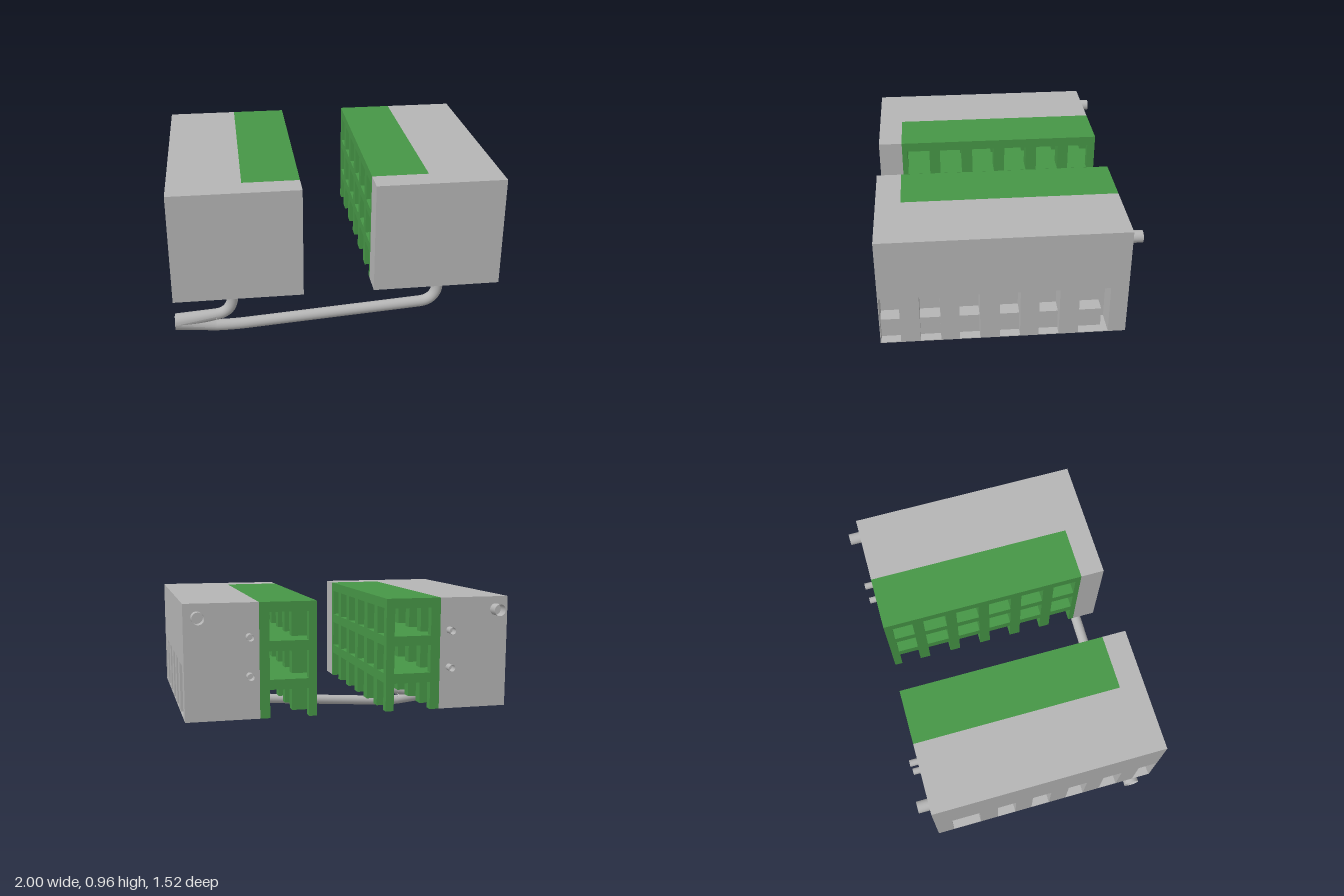
import * as THREE from 'three';

export function createModel() {
  const model = new THREE.Group();
  const grey = new THREE.MeshStandardMaterial({ color: 0xb4b4b4 });
  grey.name = 'concreteGrey';
  const pipeGrey = new THREE.MeshStandardMaterial({ color: 0xb4b4b4, side: THREE.DoubleSide });
  pipeGrey.name = 'pipeGrey';
  const green = new THREE.MeshStandardMaterial({ color: 0x469646 });
  green.name = 'frameGreen';

  // box given by its limits, mirrored across x by the sign s
  function box(parent, name, mat, s, x0, x1, y0, y1, z0, z1) {
    const mesh = new THREE.Mesh(new THREE.BoxGeometry(x1 - x0, y1 - y0, z1 - z0), mat);
    mesh.position.set(s * (x0 + x1) / 2, (y0 + y1) / 2, (z0 + z1) / 2);
    mesh.name = name;
    parent.add(mesh);
    return mesh;
  }

  const BOT = 0.27, TOP = 0.96, BACK = -0.69, FRONT = 0.76;
  const IN = 0.215, MID = 0.56, OUT = 1, FRAME_FRONT = 0.61;
  const recessX = 0.85;
  const openings = [[0.64, 0.755], [0.405, 0.525], [0.175, 0.295],
    [-0.06, 0.06], [-0.29, -0.17], [-0.585, -0.405]];

  function buildBlock(s) {
    const block = new THREE.Group();
    block.name = s > 0 ? 'leftBlock' : 'rightBlock';

    // solid body, front wing and the wall above the openings
    box(block, 'core', grey, s, MID, recessX, BOT, TOP, BACK, FRONT);
    box(block, 'frontWing', grey, s, IN, MID, BOT, TOP, FRAME_FRONT, FRONT);
    box(block, 'upperWall', grey, s, recessX, OUT, 0.585, TOP, BACK, FRONT);

    // piers, sills and low counters of the openings
    let z = FRONT;
    for (const [z0, z1] of openings) {
      box(block, 'pier', grey, s, recessX, OUT, BOT, 0.585, z1, z);
      box(block, 'sill', grey, s, recessX, OUT, BOT, BOT + 0.004, z0, z1);
      const short = z0 < -0.5 ? 0.035 : 0;
      box(block, 'counter', grey, s, recessX, 0.94, BOT, 0.395, z0 + short, z1);
      z = z0;
    }
    box(block, 'pier', grey, s, recessX, OUT, BOT, 0.585, BACK, z);

    // green open frame: floors with beams under their edges
    const frame = new THREE.Group();
    frame.name = 'galleryFrame';
    block.add(frame);
    const floors = [TOP, 0.73, 0.5];
    const bays = 6, pitch = (FRAME_FRONT - BACK) / bays;
    for (const y of floors) {
      box(frame, 'floor', green, s, IN, MID, y - 0.025, y, BACK, FRAME_FRONT);
      box(frame, 'edgeBeam', green, s, IN, IN + 0.05, y - 0.06, y - 0.025, BACK, FRAME_FRONT);
      box(frame, 'wallBeam', green, s, MID - 0.05, MID, y - 0.06, y - 0.025, BACK, FRAME_FRONT);
    }
    // columns and cross beams between the bays
    for (let i = 0; i <= bays; i++) {
      const c = BACK + i * pitch;
      const z0 = i === 0 ? c : c - 0.035;
      const z1 = i === bays ? c : (i === 0 ? c + 0.05 : c + 0.035);
      const deep = i === 0 ? 0.05 : 0.115;
      box(frame, 'column', green, s, IN, IN + deep, BOT, TOP - 0.025, z0, z1);
      box(frame, 'wallColumn', green, s, MID - 0.06, MID, BOT, TOP - 0.025, z0, z1);
      for (const y of floors) {
        box(frame, 'crossBeam', green, s, IN + deep, MID - 0.06, y - 0.06, y - 0.025, z0, z1);
      }
    }

    // short open pipe stubs on the back wall
    for (const [x, y, r, len] of [[0.92, 0.88, 0.036, 0.07], [0.62, 0.76, 0.021, 0.055], [0.62, 0.53, 0.021, 0.055]]) {
      const geo = new THREE.CylinderGeometry(r, r, len, 24, 1, true);
      geo.rotateX(Math.PI / 2);
      const stub = new THREE.Mesh(geo, pipeGrey);
      stub.position.set(s * x, y, BACK - len / 2);
      stub.name = 'backPipeStub';
      block.add(stub);
    }
    return block;
  }
  model.add(buildBlock(1), buildBlock(-1));

  // drain pipes under the blocks
  const PZ = 0.665, R = 0.035;
  const v = (x, y) => new THREE.Vector3(x, y, PZ);
  function elbowPath(x, yEnd) {
    const path = new THREE.CurvePath();
    path.add(new THREE.LineCurve3(v(x, BOT + 0.01), v(x, 0.23)));
    path.add(new THREE.CubicBezierCurve3(v(x, 0.23), v(x, 0.16), v(x - 0.045, yEnd + 0.005), v(x - 0.105, yEnd)));
    return path;
  }
  function tube(name, path, segments) {
    const mesh = new THREE.Mesh(new THREE.TubeGeometry(path, segments, R, 20), pipeGrey);
    mesh.name = name;
    model.add(mesh);
  }
  tube('shortDrainElbow', elbowPath(-0.645, 0.115), 24);
  tube('longDrainElbow', elbowPath(0.635, 0.115), 24);
  tube('longDrainRun', new THREE.LineCurve3(v(0.53, 0.115), v(-0.56, 0.041)), 1);
  tube('longDrainBend', new THREE.QuadraticBezierCurve3(v(-0.56, 0.041), v(-0.65, 0.035), v(-0.75, 0.038)), 8);

  // two tapered branches that merge into one round outlet
  const END = new THREE.Vector3(-1, 0.08, PZ);
  for (const y of [0.115, 0.038]) {
    const geo = new THREE.CylinderGeometry(0.05, R, 0.25, 24, 1, true);
    geo.rotateZ(Math.PI / 2);
    const pos = geo.attributes.position;
    for (let i = 0; i < pos.count; i++) {
      const t = (0.125 - pos.getX(i)) / 0.25;
      pos.setXYZ(i, -0.75 - 0.25 * t, pos.getY(i) + y + (END.y - y) * t, pos.getZ(i) + PZ);
    }
    geo.computeVertexNormals();
    const branch = new THREE.Mesh(geo, pipeGrey);
    branch.name = 'outletBranch';
    model.add(branch);
  }
  return model;
}
